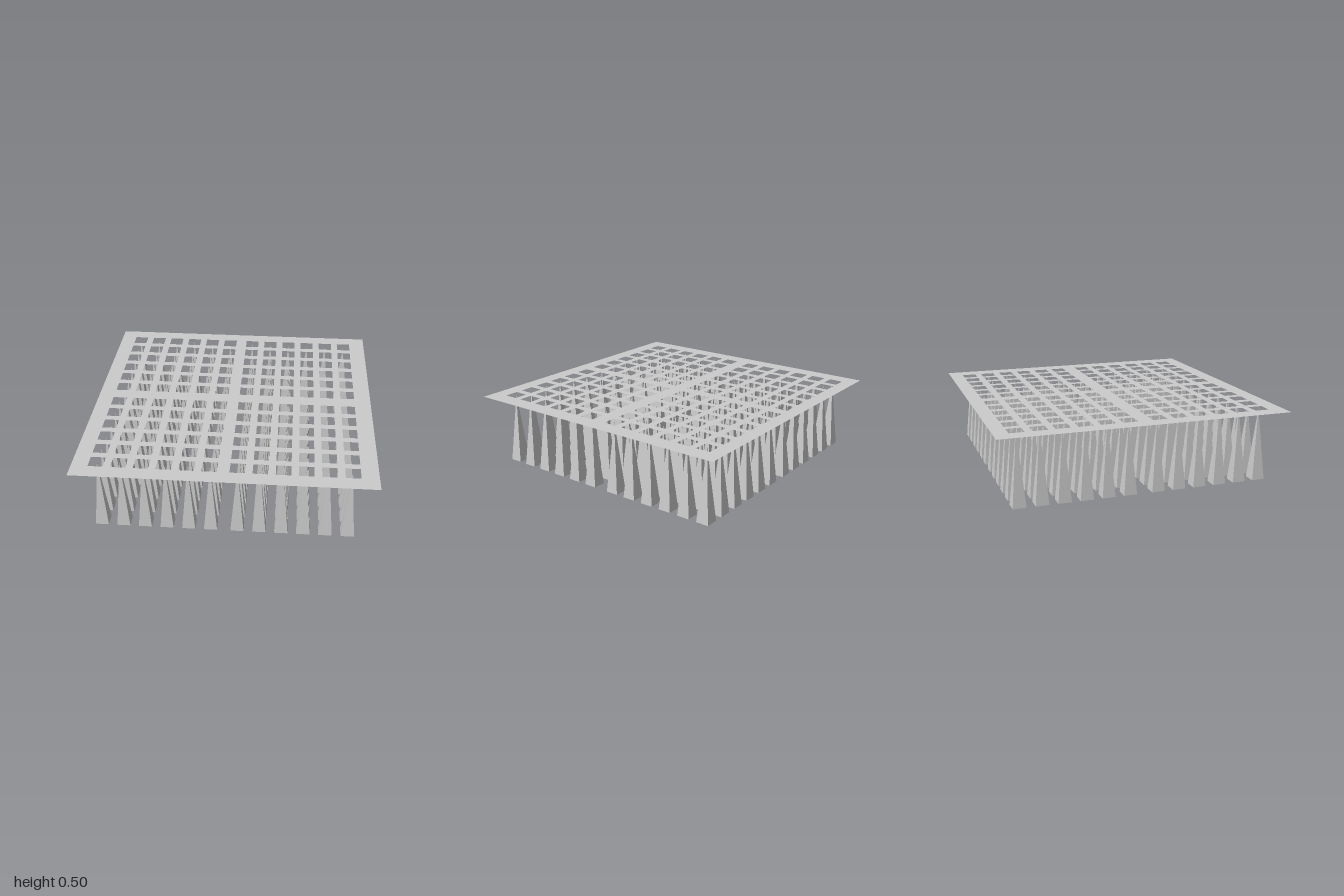
import * as THREE from 'three';

const HEIGHT = 0.5, SPIKE = 0.09, HOLE = 0.1, PITCH = 0.149;

// Twelve centres along one axis: two runs of six with a wider gap in the middle
function centres(first, shift) {
  const out = [];
  for (let i = 0; i < 6; i++) {
    out.push(shift - first - i * PITCH, shift + first + i * PITCH);
  }
  return out.sort((a, b) => a - b);
}

function squareHole(x, y) {
  const h = HOLE / 2;
  const path = new THREE.Path();
  path.moveTo(x - h, y - h);
  path.lineTo(x - h, y + h);
  path.lineTo(x + h, y + h);
  path.lineTo(x + h, y - h);
  path.closePath();
  return path;
}

export function createModel() {
  const model = new THREE.Group();
  model.name = 'spikeTrap';

  // Thin perforated sheet level with the spike tips
  const sheet = new THREE.Shape([[-1, -1], [1, -1], [1, 1], [-1, 1]].map(([x, y]) => new THREE.Vector2(x, y)));
  for (const x of centres(0.091, -0.003)) {
    for (const z of centres(0.102, -0.004)) sheet.holes.push(squareHole(x, -z));
  }
  const plate = new THREE.Mesh(
    new THREE.ShapeGeometry(sheet).rotateX(-Math.PI / 2),
    new THREE.MeshStandardMaterial({ color: 0xcccccc, side: THREE.DoubleSide })
  );
  plate.name = 'perforatedPlate';
  plate.position.y = HEIGHT;
  model.add(plate);

  // Square pyramid spikes, one under each hole
  const spikes = new THREE.Group();
  spikes.name = 'spikes';
  const geometry = new THREE.ConeGeometry(SPIKE / Math.SQRT2, HEIGHT, 4)
    .rotateY(Math.PI / 4)
    .translate(0, HEIGHT / 2, 0);
  const material = new THREE.MeshStandardMaterial({ color: 0xcccccc, flatShading: true });
  for (const x of centres(0.09, -0.003)) {
    for (const z of centres(0.099, -0.001)) {
      const spike = new THREE.Mesh(geometry, material);
      spike.name = 'spike';
      spike.position.set(x, 0, z);
      spikes.add(spike);
    }
  }
  model.add(spikes);
  return model;
}
